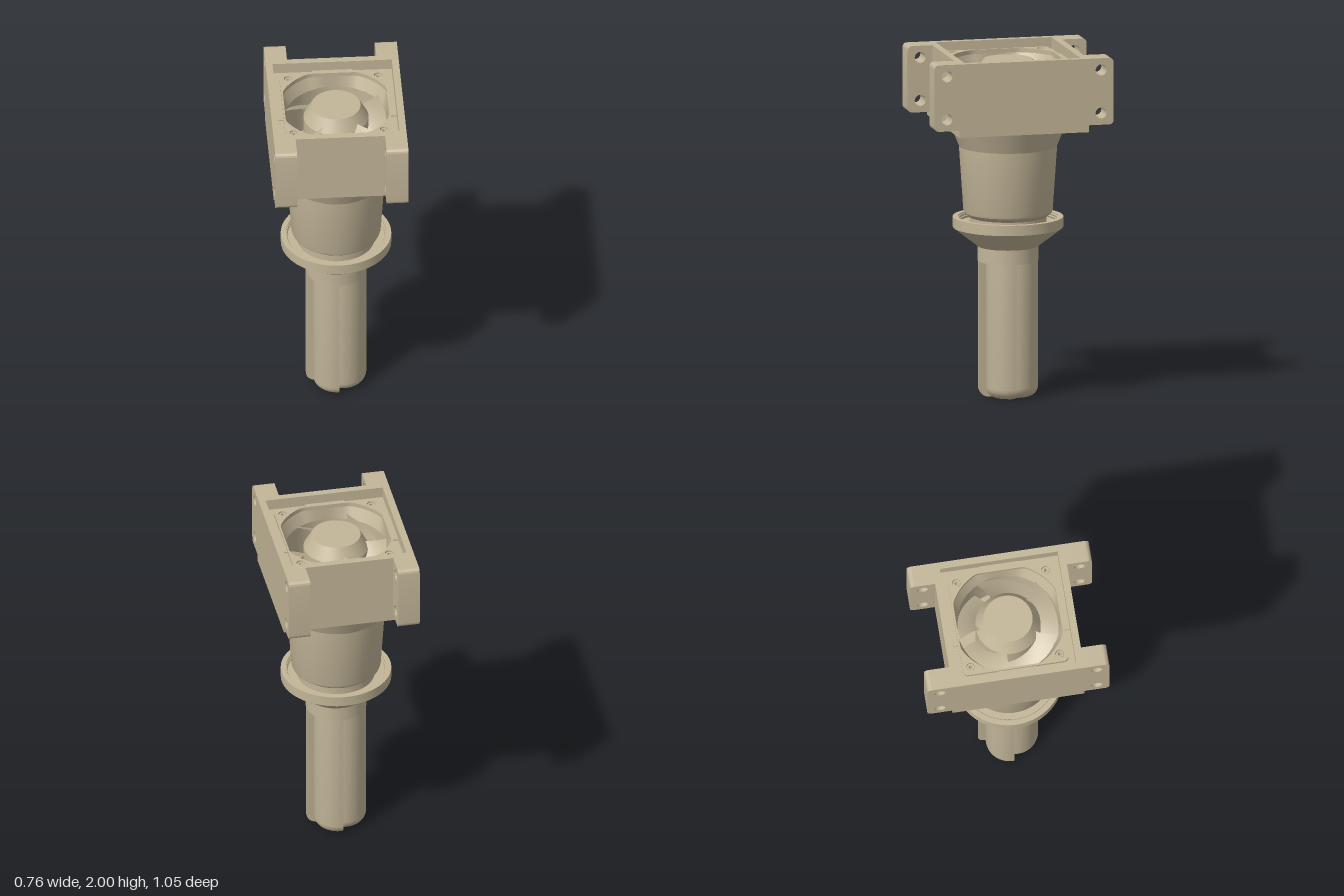
import * as THREE from 'three';
import { toCreasedNormals } from 'three/addons/utils/BufferGeometryUtils.js';

const PI = Math.PI;

export function createModel() {
  const model = new THREE.Group();
  const tan = new THREE.MeshStandardMaterial({ color: 0xc2b598, side: THREE.DoubleSide });
  tan.name = 'tan plastic';

  const add = (name, geo, parent = model) => {
    const mesh = new THREE.Mesh(geo, tan);
    mesh.name = name;
    parent.add(mesh);
    return mesh;
  };
  const lathe = (pts, segs = 72) =>
    toCreasedNormals(new THREE.LatheGeometry(pts.map(p => new THREE.Vector2(...p)), segs), 0.3);

  // Rounded square outline, half size s, corner radius c
  const square = (s, c = 0, Type = THREE.Shape) => {
    const p = new Type();
    if (!c) {
      p.moveTo(-s, -s); p.lineTo(s, -s); p.lineTo(s, s); p.lineTo(-s, s); p.closePath();
      return p;
    }
    p.absarc(s - c, s - c, c, 0, PI / 2);
    p.absarc(c - s, s - c, c, PI / 2, PI);
    p.absarc(c - s, c - s, c, PI, 1.5 * PI);
    p.absarc(s - c, c - s, c, 1.5 * PI, 2 * PI);
    p.closePath();
    return p;
  };
  const circle = (x, y, r) => new THREE.Path().absarc(x, y, r, 0, 2 * PI);
  const slab = (shape, holes, y0, y1) => {
    shape.holes.push(...holes);
    const g = new THREE.ExtrudeGeometry(shape, { depth: y1 - y0, bevelEnabled: false, curveSegments: 24 });
    return toCreasedNormals(g.rotateX(-PI / 2).translate(0, y0, 0), 0.4);
  };
  // Grid surface from a function (i, j) -> [x, y, z]
  const grid = (nu, nv, fn) => {
    const pos = [], idx = [];
    for (let i = 0; i <= nu; i++) for (let j = 0; j <= nv; j++) pos.push(...fn(i / nu, j / nv));
    for (let i = 0; i < nu; i++) for (let j = 0; j < nv; j++) {
      const a = i * (nv + 1) + j, b = a + nv + 1;
      idx.push(a, b, a + 1, b, b + 1, a + 1);
    }
    const g = new THREE.BufferGeometry();
    g.setAttribute('position', new THREE.Float32BufferAttribute(pos, 3));
    g.setIndex(idx);
    return toCreasedNormals(g, 0.5);
  };

  // Housing: wall, bottom plate and recessed ledge
  const corners = [[1, 1], [1, -1], [-1, 1], [-1, -1]];
  const screwHoles = r => corners.map(([a, b]) => circle(a * 0.257, b * 0.257, r));
  add('housingWall', slab(square(0.38), [square(0.34, 0, THREE.Path)], 1.575, 2));
  add('housingBottom', slab(square(0.34), [circle(0, 0, 0.29), ...screwHoles(0.024)], 1.575, 1.6));
  add('recessLedge', slab(square(0.34), [square(0.304, 0.03, THREE.Path)], 1.85, 1.935));
  for (let k = 0; k < 4; k++) {
    const tab = add('ledgeTab', new THREE.BoxGeometry(0.23, 0.012, 0.034).translate(0, 1.938, 0.3225));
    tab.rotation.y = k * PI / 2;
  }

  // Four mounting ears with two cross holes each
  for (const [sx, sz] of corners) {
    const s = new THREE.Shape(), c = 0.03;
    s.moveTo(sz * 0.38, 1.615);
    s.lineTo(sz * (0.525 - c), 1.615);
    s.quadraticCurveTo(sz * 0.525, 1.615, sz * 0.525, 1.615 + c);
    s.lineTo(sz * 0.525, 2 - c);
    s.quadraticCurveTo(sz * 0.525, 2, sz * (0.525 - c), 2);
    s.lineTo(sz * 0.38, 2);
    s.closePath();
    s.holes.push(circle(sz * 0.452, 1.932, 0.032), circle(sz * 0.452, 1.683, 0.032));
    const g = new THREE.ExtrudeGeometry(s, { depth: 0.125, bevelEnabled: false, curveSegments: 16 });
    g.rotateY(-PI / 2).translate(sx > 0 ? 0.38 : -0.255, 0, 0);
    add('mountingEar', toCreasedNormals(g, 0.4));
  }

  // Fan frame: clipped round mouth narrowing to a round duct
  const fan = new THREE.Group();
  fan.name = 'fan';
  model.add(fan);
  const mouth = a => Math.min(0.325, 0.295 / Math.max(Math.abs(Math.cos(a)), Math.abs(Math.sin(a))));
  const mouthPath = new THREE.Path();
  mouthPath.setFromPoints(Array.from({ length: 97 }, (_, i) => {
    const a = i / 96 * 2 * PI;
    return new THREE.Vector2(mouth(a) * Math.cos(a), mouth(a) * Math.sin(a));
  }));
  add('fanFrame', slab(square(0.305, 0.03), [mouthPath, ...screwHoles(0.024)], 1.93, 1.955), fan);
  add('fanMouth', grid(96, 1, (u, v) => {
    const a = u * 2 * PI, r = v ? mouth(a) : 0.293;
    return [r * Math.cos(a), v ? 1.93 : 1.86, r * Math.sin(a)];
  }), fan);
  add('fanDuct', new THREE.CylinderGeometry(0.293, 0.293, 0.27, 72, 1, true).translate(0, 1.725, 0), fan);
  add('ductFloor', new THREE.CylinderGeometry(0.293, 0.293, 0.01, 72).translate(0, 1.595, 0), fan);
  add('fanHub', lathe([[0.185, 1.6], [0.185, 1.87], [0.14, 1.95], [0, 1.95]]), fan);
  for (let k = 0; k < 5; k++) {
    const blade = add('fanBlade', grid(14, 6, (u, v) => {
      const r = 0.16 + 0.128 * v;
      const a = u * 1.22 - 0.1 * v * v;
      return [r * Math.cos(a), 1.9 - 0.16 * u - 0.03 * u * (1 - u), r * Math.sin(a)];
    }), fan);
    blade.rotation.y = 1.69 - k * 2 * PI / 5;
  }
  // Hollow screws in the frame corners
  for (const [a, b] of corners) {
    add('screw', lathe([[0.021, 1.6], [0.021, 1.948], [0.01, 1.948], [0.01, 1.6]], 20).translate(a * 0.257, 0, b * 0.257), fan);
  }

  // Tapered body below the housing
  add('taperedBody', lathe([[0.33, 1.575], [0.28, 1.45], [0.255, 1.08], [0.25, 1.065], [0.22, 1.04], [0.22, 0.99]].reverse()));

  // Open collar that holds the body, and the neck under it
  add('collar', lathe([[0.173, 0.785], [0.173, 0.87], [0.315, 0.98], [0.315, 1.04], [0.285, 1.04], [0.285, 1], [0, 1]]));
  for (const y of [1.012, 1.028]) {
    add('collarThread', new THREE.TorusGeometry(0.284, 0.007, 6, 72).rotateX(PI / 2).translate(0, y, 0));
  }

  // Shaft: four spiral quarters, each ending in a radial step
  const step = 3 * PI / 180, fillet = 0.06;
  const profile = [[0, 0]];
  for (let i = 0; i <= 6; i++) {
    const t = i / 6 * PI / 2;
    profile.push([1, fillet * (1 - Math.cos(t)), fillet * (1 - Math.sin(t))]);
  }
  profile.push([1, 0.787, 0], [0, 0.787]);
  const n = 20, around = [];
  for (let q = 0; q < 4; q++) for (let i = 0; i <= n; i++) {
    const t = i / n * PI / 2;
    around.push([step + q * PI / 2 + t, 0.13 + 0.043 * Math.sin(t)]);
  }
  around.push(around[0]);
  add('shaft', grid(around.length - 1, profile.length - 1, (u, v) => {
    const [a, r] = around[Math.round(u * (around.length - 1))];
    const [on, y, inset] = profile[Math.round(v * (profile.length - 1))];
    const d = on ? r - inset : 0;
    return [d * Math.sin(a), y, d * Math.cos(a)];
  }));

  return model;
}
